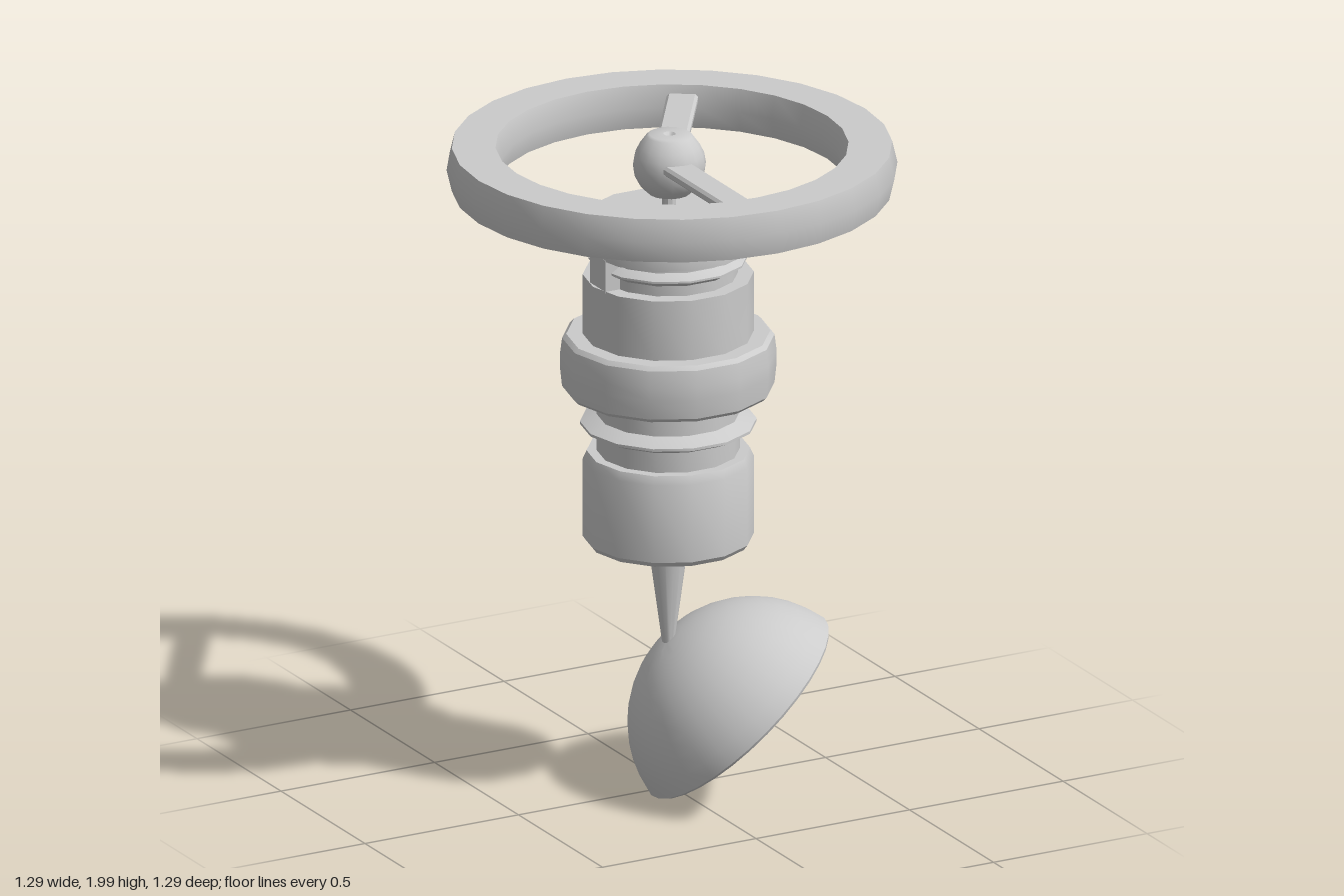
import * as THREE from 'three';
import { toCreasedNormals } from 'three/addons/utils/BufferGeometryUtils.js';

const material = new THREE.MeshStandardMaterial({ color: 0xcccccc });

function add(parent, name, geometry) {
  const mesh = new THREE.Mesh(toCreasedNormals(geometry, 0.6), material);
  mesh.name = name;
  parent.add(mesh);
  return mesh;
}

// Turned part from [radius, y] pairs, listed up the outside; a corner points at +x
function turned(points, sides) {
  const profile = points.map(([r, y]) => new THREE.Vector2(r, y));
  return new THREE.LatheGeometry(profile, sides, Math.PI / 2);
}

// Flat bar with chamfered top and bottom edges, from (x0, z0) to (x1, z1)
function addSpoke(parent, name, x0, z0, x1, z1, y) {
  const w = 0.045, t = 0.015, c = 0.008;
  const section = new THREE.Shape([
    [-w, -t + c], [-w + c, -t], [w - c, -t], [w, -t + c],
    [w, t - c], [w - c, t], [-w + c, t], [-w, t - c],
  ].map(([a, b]) => new THREE.Vector2(a, b)));
  const length = Math.hypot(x1 - x0, z1 - z0);
  const geometry = new THREE.ExtrudeGeometry(section, { depth: length, bevelEnabled: false });
  const spoke = add(parent, name, geometry);
  spoke.position.set(x0, y, z0);
  spoke.rotation.y = Math.atan2(x1 - x0, z1 - z0);
}

export function createModel() {
  const model = new THREE.Group();
  model.name = 'spaceStation';

  // Ring and its two spokes
  const wheel = new THREE.Group();
  wheel.name = 'wheel';
  model.add(wheel);
  add(wheel, 'ring', turned([
    [0.505, 1.83], [0.63, 1.83], [0.645, 1.895], [0.63, 1.96],
    [0.505, 1.96], [0.488, 1.895], [0.505, 1.83],
  ], 28));
  addSpoke(wheel, 'frontSpoke', -0.033, 0, -0.033, 0.5, 1.92);
  addSpoke(wheel, 'backSpoke', 0.0, -0.019, 0.27, -0.43, 1.92);

  // Hub with a small dimple, and the mast below it
  const hub = add(wheel, 'hub', turned([
    [0, 1.822], [0.06, 1.822], [0.084, 1.845], [0.1, 1.875], [0.105, 1.91],
    [0.1, 1.94], [0.088, 1.965], [0.066, 1.995], [0.058, 2], [0.018, 2], [0, 1.985],
  ], 16));
  hub.position.set(-0.015, 0, 0.012);
  const mast = add(wheel, 'mast', new THREE.CylinderGeometry(0.02, 0.02, 0.1, 10));
  mast.position.set(-0.016, 1.785, 0.012);

  // Stacked body modules
  const body = new THREE.Group();
  body.name = 'body';
  body.position.set(-0.022, 0, 0.018);
  model.add(body);
  const modules = {
    topCap: [[0, 1.67], [0.245, 1.67], [0.245, 1.73], [0.235, 1.755], [0, 1.755]],
    upperNeck: [[0.2, 1.57], [0.2, 1.68]],
    upperFlange: [[0.19, 1.605], [0.205, 1.613], [0.228, 1.627], [0.228, 1.633], [0.205, 1.647], [0.19, 1.655]],
    upperModule: [[0, 1.39], [0.245, 1.39], [0.245, 1.58], [0, 1.58]],
    wideModule: [[0, 1.23], [0.292, 1.23], [0.304, 1.242], [0.31, 1.3], [0.31, 1.34],
      [0.304, 1.388], [0.292, 1.4], [0, 1.4]],
    lowerNeck: [[0.205, 1.03], [0.205, 1.24]],
    lowerFlange: [[0.19, 1.1], [0.205, 1.105], [0.253, 1.126], [0.253, 1.134], [0.205, 1.155], [0.19, 1.16]],
    lowerModule: [[0, 0.77], [0.234, 0.77], [0.245, 0.785], [0.245, 1.02], [0.234, 1.045], [0, 1.045]],
    dishMount: [[0.018, 0.46], [0.06, 0.775]],
  };
  for (const [name, points] of Object.entries(modules)) add(body, name, turned(points, 14));

  // Block bridging the upper groove
  const block = add(body, 'bridgeBlock', new THREE.BoxGeometry(0.05, 0.1, 0.09));
  block.position.set(-0.21, 1.625, 0.01);

  // Dish: a bowl with thickness, opening along its local +y, with the rim at y = 0
  const dish = new THREE.Group();
  dish.name = 'dish';
  dish.position.set(0.165, 0.252, 0.09);
  dish.quaternion.setFromUnitVectors(
    new THREE.Vector3(0, 1, 0), new THREE.Vector3(0.627, -0.733, 0.268).normalize());
  model.add(dish);
  const bowl = (radius, depth) => {
    const ball = (radius * radius + depth * depth) / (2 * depth);
    const sweep = Math.acos((ball - depth) / ball);
    return Array.from({ length: 11 }, (_, i) => {
      const a = sweep * i / 10;
      return [ball * Math.sin(a), ball - depth - ball * Math.cos(a)];
    });
  };
  add(dish, 'bowl', turned([
    ...bowl(0.354, 0.295), [0.347, 0.008], ...bowl(0.33, 0.272).reverse(),
  ], 32));

  // Feed rod, thick at the base and thin at the tip
  const base = add(dish, 'feedBase', new THREE.CylinderGeometry(0.006, 0.008, 0.2, 8));
  base.position.y = -0.18;
  const tip = add(dish, 'feedTip', new THREE.CylinderGeometry(0.003, 0.003, 0.16, 6));
  tip.position.y = -0.01;

  return model;
}
